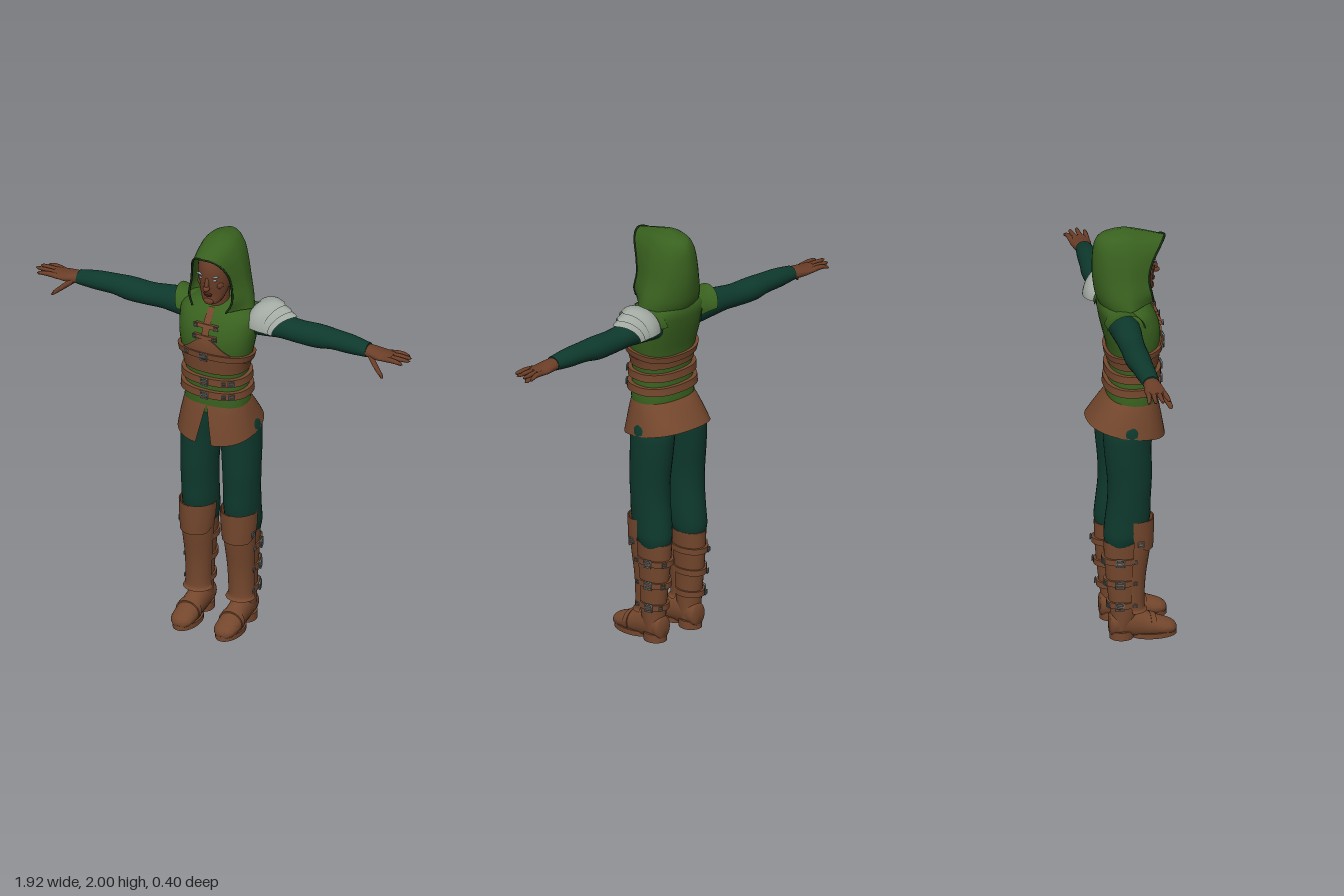
import * as THREE from 'three';
import { mergeVertices, toCreasedNormals } from 'three/addons/utils/BufferGeometryUtils.js';

const paint = (name, color, side = THREE.DoubleSide) => {
  const m = new THREE.MeshStandardMaterial({ color, side });
  m.name = name;
  return m;
};

export function createModel() {
  const root = new THREE.Group();
  root.name = 'hoodedRanger';
  const green = paint('vestGreen', 0x39611f), teal = paint('clothTeal', 0x0e392d);
  const leather = paint('leatherBrown', 0x74472d), skin = paint('skinBrown', 0x6b3e28);
  const plate = paint('plateGrey', 0xa2a9a2), metal = paint('buckleGrey', 0x70797a);
  const dark = paint('hemDark', 0x1b3015), pale = paint('browPale', 0xa9bcc0), lipTone = paint('lipBrown', 0x53291f);

  const add = (parent, name, geo, mat) => {
    const m = new THREE.Mesh(geo, mat);
    m.name = name;
    parent.add(m);
    return m;
  };
  // Sheet from f(u, v), u around and v along, both 0..1
  const surface = (f, nu, nv) => {
    const pos = [], idx = [];
    for (let j = 0; j <= nv; j++) for (let i = 0; i <= nu; i++) pos.push(...f(i / nu, j / nv));
    for (let j = 0; j < nv; j++) for (let i = 0; i < nu; i++) {
      const a = j * (nu + 1) + i, b = a + nu + 1;
      idx.push(a, a + 1, b + 1, a, b + 1, b);
    }
    const g = new THREE.BufferGeometry();
    g.setAttribute('position', new THREE.Float32BufferAttribute(pos, 3));
    g.setIndex(idx);
    return toCreasedNormals(mergeVertices(g), 0.9);
  };
  // Smooth interpolation of table rows [t, ...values]
  const smooth = (rows) => {
    const c = new THREE.CubicInterpolant(rows.map(r => r[0]), rows.flatMap(r => r.slice(1)), rows[0].length - 1);
    return t => Array.from(c.evaluate(t));
  };
  // Lofted tube along axis k (0 x, 1 y, 2 z); rows are [t, centre1, radius1, centre2, radius2]
  const limb = (parent, name, mat, k, rows, { a0 = 0, a1 = Math.PI * 2, n = 28, cap = true, warp = p => p } = {}) => {
    const f = smooth(rows.map((r, i) => [i, ...r]));
    const nv = (rows.length - 1) * 5, lim = cap ? nv + 2 : nv;
    return add(parent, name, surface((u, v) => {
      const s = Math.round(v * lim) - (cap ? 1 : 0);
      const [t, c1, r1, c2, r2] = f(THREE.MathUtils.clamp(s, 0, nv) / 5);
      const q = s < 0 || s > nv ? 0 : 1, a = a0 + (a1 - a0) * u, p = [0, 0, 0];
      p[k] = t;
      p[(k + 1) % 3] = c1 + q * r1 * Math.cos(a);
      p[(k + 2) % 3] = c2 + q * r2 * Math.sin(a);
      return warp(p, a);
    }, n, lim), mat);
  };
  const buckle = (parent, p, ry, s = 1) => {
    const g = new THREE.Group();
    g.name = 'buckle';
    add(g, 'buckleFrame', new THREE.TorusGeometry(0.023, 0.005, 6, 4).rotateZ(Math.PI / 4), metal);
    add(g, 'bucklePin', new THREE.BoxGeometry(0.036, 0.006, 0.008), metal);
    g.position.set(...p);
    g.rotation.y = ry;
    g.scale.setScalar(s);
    parent.add(g);
  };

  // Torso: [y, centre z, depth radius, width radius]
  const body = smooth([[1.13, 0.012, 0.11, 0.15], [1.17, 0.012, 0.114, 0.154], [1.25, 0.015, 0.11, 0.15], [1.34, 0.017, 0.108, 0.147],
    [1.42, 0.017, 0.118, 0.166], [1.5, 0.01, 0.13, 0.18], [1.57, -0.005, 0.13, 0.186], [1.63, -0.025, 0.115, 0.175],
    [1.665, -0.035, 0.09, 0.11], [1.69, -0.03, 0.055, 0.055]]);
  const sp = x => Math.sign(x) * Math.abs(x) ** 0.85;
  const onBody = (a, y, off = 0) => {
    const [cz, rz, rx] = body(y);
    return [(rx + off) * sp(Math.sin(a)), y, cz + (rz + off) * sp(Math.cos(a))];
  };
  add(root, 'vest', surface((u, v) => onBody(u * Math.PI * 2, 1.13 + 0.56 * v), 40, 36), green);
  // Raised band on the torso between heights lo(a) and hi(a)
  const band = (name, mat, lo, hi, off, a0 = -Math.PI, a1 = Math.PI) => add(root, name, surface((u, v) => {
    const a = a0 + (a1 - a0) * u, s = Math.round(v * 8), t = THREE.MathUtils.clamp((s - 1) / 6, 0, 1);
    return onBody(a, lo(a) + (hi(a) - lo(a)) * t, s === 0 || s === 8 ? 0 : off);
  }, a1 - a0 > 3 ? 56 : 8, 8), mat);
  const front = a => Math.max(0, Math.cos(a));
  band('corset', leather, () => 1.345, a => 1.39 + 0.1 * front(a) ** 2 + 0.04 * front(a) ** 24, 0.007);
  band('chestBelt', leather, a => 1.40 + 0.025 * Math.cos(a), a => 1.43 + 0.025 * Math.cos(a), 0.015);
  for (const y of [1.238, 1.305]) {
    band('waistBelt', leather, () => y - 0.018, () => y + 0.018, 0.019);
    buckle(root, onBody(0, y, 0.026), 0);
    buckle(root, onBody(0.75, y, 0.024), 0.6, 0.75);
    buckle(root, onBody(0.5, y, 0.024), 0.4, 0.5);
  }
  buckle(root, onBody(0, 1.44, 0.022), 0);
  buckle(root, onBody(-0.45, 1.44, 0.02), -0.35, 0.5);
  // Laced placket
  band('placket', leather, () => 1.5, () => 1.655, 0.008, -0.06, 0.06);
  for (const y of [1.535, 1.585]) {
    band('lace', leather, () => y - 0.008, () => y + 0.008, 0.013, -0.24, 0.24);
    for (const s of [-1, 1]) buckle(root, onBody(0.2 * s, y, 0.018), 0.15 * s, 0.55);
  }

  // Skirt with a slit in front
  add(root, 'skirt', surface((u, v) => {
    const t = 1 - v, gap = 0.16 * t, a = gap + u * (Math.PI * 2 - 2 * gap), back = (1 - Math.cos(a)) / 2;
    const low = 0.985 + 0.075 * back, e = t ** 0.85;
    return [(0.15 + 0.042 * e) * sp(Math.sin(a)), THREE.MathUtils.lerp(1.18, low, t),
      0.012 - 0.03 * e + (0.112 + 0.068 * e) * sp(Math.cos(a))];
  }, 48, 8), leather);

  // Hood: [level, edge x y z, side x y z, back y z]
  const levels = [[0, 0.085, 1.66, 0.1, 0.165, 1.65, -0.02, 1.615, -0.125], [1, 0.108, 1.71, 0.087, 0.154, 1.7, -0.03, 1.68, -0.153],
    [2, 0.103, 1.78, 0.075, 0.131, 1.78, -0.03, 1.78, -0.168], [3, 0.092, 1.85, 0.09, 0.115, 1.86, -0.03, 1.87, -0.168],
    [4, 0.07, 1.91, 0.125, 0.096, 1.925, -0.03, 1.935, -0.16], [5, 0.04, 1.942, 0.152, 0.062, 1.978, -0.02, 1.97, -0.142],
    [6, 0, 1.952, 0.168, 0, 2.0, -0.02, 1.985, -0.11]];
  const hood = smooth(levels);
  const hoodCurve = (v) => {
    const [xf, yf, zf, w, ym, zm, yb, zb] = hood(v * 6);
    const half = [[xf, yf, zf], [(xf + w) * 0.52, (yf + ym) / 2 + 0.004, (zf + zm) / 2], [w, ym, zm], [w * 0.74, (ym + yb) / 2, zb * 0.74]];
    const pts = [...half, [0, yb, zb], ...half.slice().reverse().map(([x, y, z]) => [-x, y, z])];
    return new THREE.CatmullRomCurve3(pts.map(p => new THREE.Vector3(...p)));
  };
  const arcs = Array.from({ length: 25 }, (_, j) => hoodCurve(j / 24));
  add(root, 'hood', surface((u, v) => arcs[Math.round(v * 24)].getPoint(u).toArray(), 40, 24), green);
  const edge = levels.map(l => new THREE.Vector3(l[1], l[2], l[3]));
  const hem = [...edge, ...edge.slice(0, -1).reverse().map(p => new THREE.Vector3(-p.x, p.y, p.z))];
  add(root, 'hoodHem', new THREE.TubeGeometry(new THREE.CatmullRomCurve3(hem), 60, 0.005, 6), dark);

  // Head and face
  limb(root, 'neck', skin, 1, [[1.6, 0, 0.06, 0, 0.062], [1.66, 0.005, 0.055, 0, 0.055], [1.76, 0.02, 0.055, 0, 0.055]]);
  limb(root, 'head', skin, 1, [[1.688, 0.08, 0.02, 0, 0.022], [1.7, 0.07, 0.042, 0, 0.042], [1.74, 0.05, 0.062, 0, 0.062],
    [1.8, 0.038, 0.083, 0, 0.074], [1.87, 0.033, 0.09, 0, 0.078], [1.92, 0.025, 0.082, 0, 0.069], [1.95, 0.015, 0.055, 0, 0.045]]);
  const blob = (name, mat, p, s) => {
    const m = add(root, name, new THREE.SphereGeometry(1, 16, 10), mat);
    m.position.set(...p);
    m.scale.set(...s);
    return m;
  };
  blob('noseBridge', skin, [0, 1.81, 0.12], [0.01, 0.035, 0.014]).rotation.x = -0.3;
  blob('noseTip', skin, [0, 1.782, 0.128], [0.016, 0.012, 0.018]);
  blob('upperLip', lipTone, [0, 1.748, 0.113], [0.022, 0.005, 0.009]);
  blob('lowerLip', lipTone, [0, 1.739, 0.112], [0.018, 0.005, 0.009]);
  blob('chin', skin, [0, 1.708, 0.105], [0.025, 0.018, 0.014]);
  for (const s of [-1, 1]) {
    blob('eye', pale, [0.033 * s, 1.825, 0.112], [0.013, 0.005, 0.005]);
    blob('brow', pale, [0.036 * s, 1.843, 0.113], [0.022, 0.004, 0.007]).rotation.z = 0.22 * s;
    blob('cheek', skin, [0.043 * s, 1.795, 0.085], [0.022, 0.022, 0.02]);
  }

  // Arms, hands and legs, built on +x and mirrored
  const side = new THREE.Group();
  side.name = 'leftLimbs';
  limb(side, 'sleeve', teal, 0, [[0.12, 1.57, 0.068, -0.05, 0.07], [0.22, 1.575, 0.065, -0.052, 0.066], [0.3, 1.573, 0.056, -0.055, 0.06],
    [0.38, 1.566, 0.053, -0.056, 0.057], [0.48, 1.566, 0.055, -0.058, 0.058], [0.56, 1.57, 0.047, -0.057, 0.051],
    [0.65, 1.568, 0.044, -0.054, 0.046], [0.74, 1.564, 0.033, -0.05, 0.038]]);
  limb(side, 'shoulderCap', green, 0, [[0.13, 1.57, 0.085, -0.05, 0.085], [0.18, 1.572, 0.082, -0.05, 0.082], [0.228, 1.575, 0.09, -0.05, 0.088]],
    { a0: -1.5, a1: 1.5, cap: false, warp: ([x, y, z], a) => [x - 0.03 * (1 - Math.cos(a)), y, z] });
  limb(side, 'palm', skin, 0, [[0.72, 1.564, 0.028, -0.05, 0.033], [0.77, 1.56, 0.027, -0.05, 0.042], [0.82, 1.557, 0.02, -0.05, 0.048], [0.865, 1.56, 0.012, -0.05, 0.042]]);
  const finger = (name, points, r) => {
    const c = new THREE.CatmullRomCurve3(points.map(p => new THREE.Vector3(...p)));
    add(side, name, surface((u, v) => {
      const p = c.getPoint(v), a = u * Math.PI * 2, q = r * (v > 0.99 ? 0.01 : 1 - 0.45 * v ** 2);
      return [p.x, p.y + q * Math.cos(a), p.z + q * Math.sin(a)];
    }, 10, 10), skin);
  };
  [[-0.085, -0.1, 0.928, 1.55], [-0.062, -0.073, 0.95, 1.56], [-0.038, -0.04, 0.958, 1.563], [-0.015, -0.006, 0.935, 1.557]]
    .forEach(([z0, z1, x, y]) => finger('finger', [[0.83, 1.558, z0], [0.89, 1.562, (z0 + z1) / 2], [x, y, z1]], 0.0125));
  finger('thumb', [[0.755, 1.555, -0.03], [0.8, 1.52, 0.0], [0.85, 1.478, 0.022]], 0.018);

  limb(side, 'trouserLeg', teal, 1, [[0.47, -0.055, 0.075, 0.108, 0.066], [0.52, -0.042, 0.096, 0.108, 0.078], [0.6, -0.027, 0.104, 0.106, 0.082],
    [0.7, -0.02, 0.1, 0.107, 0.084], [0.8, -0.018, 0.103, 0.107, 0.086], [0.95, -0.025, 0.11, 0.102, 0.092],
    [1.05, -0.022, 0.112, 0.095, 0.093], [1.15, 0, 0.09, 0.08, 0.065]]);
  const shaft = [[0.05, -0.058, 0.05, 0.108, 0.048], [0.12, -0.045, 0.062, 0.11, 0.052], [0.25, -0.042, 0.08, 0.11, 0.056],
    [0.38, -0.046, 0.088, 0.108, 0.063], [0.49, -0.046, 0.092, 0.106, 0.071]];
  limb(side, 'bootShaft', leather, 1, shaft);
  const wrap = { a0: -1.75, a1: 1.75, cap: false };
  limb(side, 'shinGuard', leather, 1, [[0.138, -0.004, 0.066, 0.109, 0.07], [0.165, -0.01, 0.06, 0.11, 0.061], [0.3, -0.01, 0.066, 0.108, 0.064],
    [0.45, 0, 0.077, 0.107, 0.075], [0.6, 0, 0.09, 0.105, 0.084]], wrap);
  limb(side, 'kneeFlap', leather, 1, [[0.45, 0.004, 0.087, 0.107, 0.079], [0.52, 0.004, 0.09, 0.106, 0.084], [0.6, 0.003, 0.093, 0.105, 0.088]],
    { ...wrap, warp: ([x, y, z], a) => [x, y + (y < 0.53 ? 0.05 * (0.53 - y) / 0.08 * Math.max(0, Math.abs(a) - 1) : 0), z] });
  const shaftAt = smooth(shaft);
  for (const y of [0.178, 0.29, 0.4]) {
    const [cz, rz, cx, rx] = shaftAt(y);
    limb(side, 'bootStrap', leather, 1, [[y - 0.014, cz - 0.005, rz + 0.008, cx, rx + 0.009], [y + 0.014, cz - 0.005, rz + 0.008, cx, rx + 0.009]]);
    buckle(side, [cx + rx + 0.008, y, -0.075], Math.PI / 2 + 0.3, 1.05);
    buckle(side, [cx + 0.03, y, cz - rz - 0.012], Math.PI - 0.4, 0.6);
    buckle(side, [cx + rx + 0.01, y, -0.005], Math.PI / 2, 0.5);
  }
  buckle(side, [0.187, 0.49, 0.02], Math.PI / 2, 0.75);
  // Feet
  const flat = { warp: ([x, y, z]) => [x, Math.max(y, 0.015), z] };
  limb(side, 'foot', leather, 2, [[-0.112, 0.108, 0.03, 0.07, 0.045], [-0.1, 0.108, 0.044, 0.072, 0.058], [-0.03, 0.108, 0.05, 0.075, 0.072],
    [0.04, 0.109, 0.052, 0.062, 0.066], [0.1, 0.11, 0.057, 0.048, 0.05], [0.16, 0.11, 0.053, 0.038, 0.036],
    [0.188, 0.11, 0.036, 0.033, 0.024], [0.198, 0.11, 0.014, 0.03, 0.012]], flat);
  limb(side, 'toeBand', leather, 2, [[0.075, 0.11, 0.06, 0.056, 0.058], [0.1, 0.11, 0.061, 0.051, 0.054]], flat);
  for (const [name, z, rz, rx, h] of [['sole', 0.095, 0.105, 0.06, 0.024], ['heel', -0.055, 0.056, 0.052, 0.04]]) {
    const m = add(side, name, new THREE.CylinderGeometry(1, 1, h, 28), leather);
    m.position.set(0.109, h / 2, z);
    m.scale.set(rx, 1, rz);
  }
  const other = side.clone();
  other.name = 'rightLimbs';
  other.scale.x = -1;
  root.add(side, other);

  // Layered plates on the left shoulder
  [[[0.14, 1.575, 0.075, -0.057, 0.075], [0.18, 1.575, 0.108, -0.057, 0.1], [0.24, 1.575, 0.12, -0.057, 0.11], [0.29, 1.57, 0.112, -0.057, 0.106]],
    [[0.25, 1.57, 0.112, -0.057, 0.104], [0.3, 1.567, 0.1, -0.057, 0.1], [0.325, 1.562, 0.095, -0.057, 0.098]],
    [[0.28, 1.565, 0.095, -0.057, 0.094], [0.33, 1.56, 0.085, -0.057, 0.09], [0.352, 1.556, 0.082, -0.057, 0.088]]]
    .forEach(rows => limb(root, 'shoulderPlate', plate, 0, rows, { a0: -1.55, a1: 1.55, cap: false,
      warp: ([x, y, z], a) => [x + 0.02 - 0.07 * Math.abs(Math.sin(a)) * (x - 0.1) / 0.2, y, z] }));
  return root;
}
